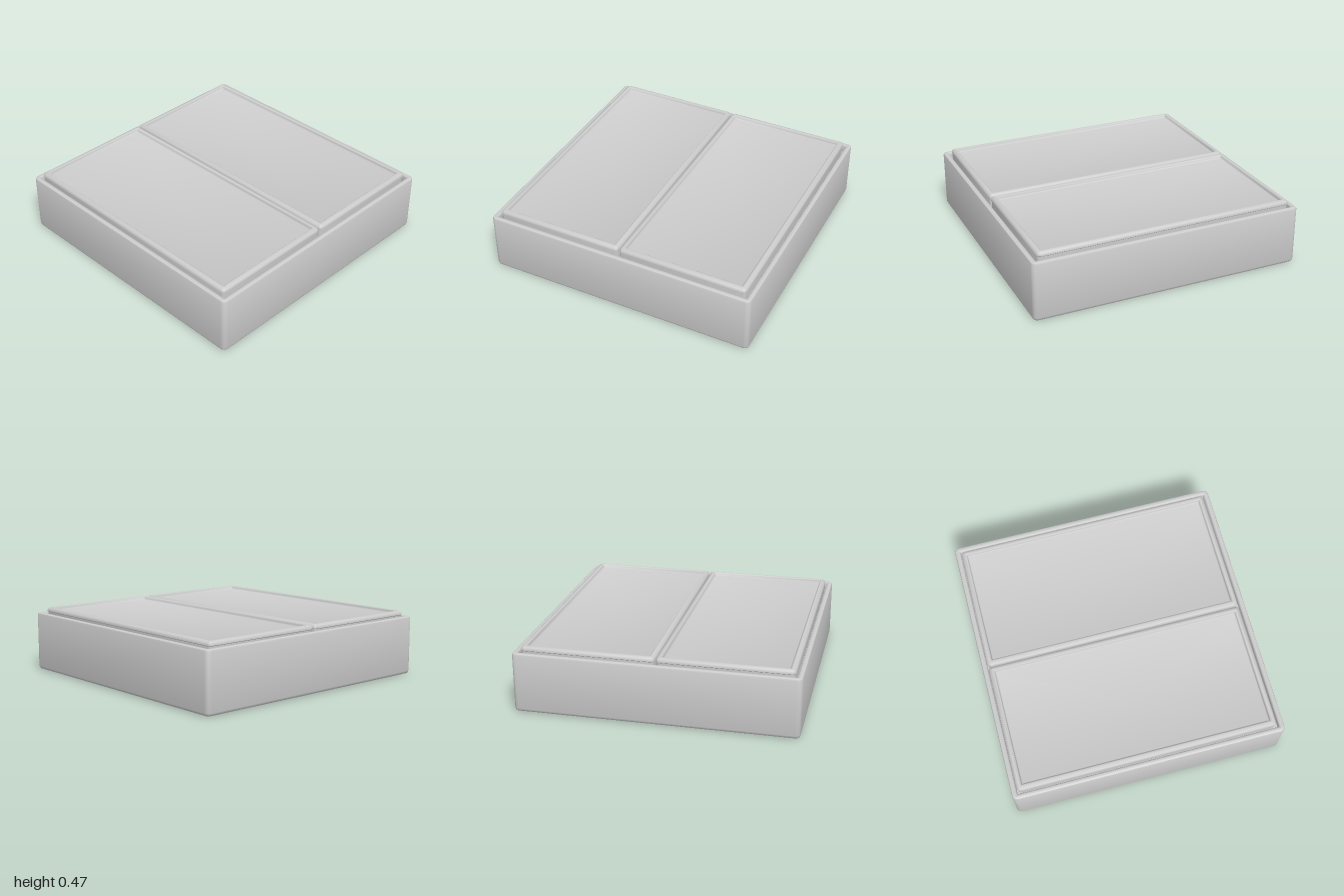
import * as THREE from 'three';
import { toCreasedNormals } from 'three/addons/utils/BufferGeometryUtils.js';

const material = new THREE.MeshStandardMaterial({ color: 0xcccccc, side: THREE.DoubleSide });

// One loop of a rounded rectangle, shrunk by an inset
function ring(halfX, halfZ, radius, inset, y) {
  const r = Math.max(radius - inset, 0.006), steps = 6, points = [];
  const hx = halfX - inset - r, hz = halfZ - inset - r;
  [[1, 1], [-1, 1], [-1, -1], [1, -1]].forEach(([sx, sz], corner) => {
    for (let i = 0; i <= steps; i++) {
      const a = (corner + i / steps) * Math.PI / 2;
      points.push([sx * hx + r * Math.cos(a), y, sz * hz + r * Math.sin(a)]);
    }
  });
  return points;
}

// Sweeps an [inset, height] profile round a rounded rectangle and closes its last loop
function traySurface(halfX, halfZ, radius, profile) {
  const positions = [], index = [];
  const n = ring(halfX, halfZ, radius, 0, 0).length;
  profile.forEach(([inset, y]) => positions.push(...ring(halfX, halfZ, radius, inset, y).flat()));
  const centre = n * profile.length, last = n * (profile.length - 1);
  positions.push(0, profile[profile.length - 1][1], 0);
  for (let i = 0; i < n; i++) {
    const k = (i + 1) % n;
    for (let j = 0; j < profile.length - 1; j++) {
      const a = j * n + i, b = j * n + k, c = a + n, d = b + n;
      index.push(a, c, b, b, c, d);
    }
    index.push(last + i, centre, last + k);
  }
  const geometry = new THREE.BufferGeometry();
  geometry.setAttribute('position', new THREE.Float32BufferAttribute(positions, 3));
  geometry.setIndex(index);
  return toCreasedNormals(geometry, 0.7);
}

export function createModel() {
  const group = new THREE.Group();

  // Hollow case, open below, with a rounded rim round a shallow pocket
  const base = new THREE.Mesh(traySurface(1, 1, 0.035, [
    [0.025, 0], [0.012, 0.004], [0.004, 0.012], [0, 0.025],
    [0, 0.42], [0.004, 0.43], [0.014, 0.435],
    [0.028, 0.435], [0.036, 0.431], [0.04, 0.422], [0.04, 0.375],
  ]), material);
  base.name = 'caseShell';
  group.add(base);

  // Two lids side by side, each a raised frame round a sunken panel
  const lidProfile = [
    [0.004, 0.376], [0.004, 0.442], [0, 0.446], [0, 0.455], [0.006, 0.467], [0.022, 0.475],
    [0.034, 0.475], [0.039, 0.471], [0.041, 0.464], [0.044, 0.455], [0.052, 0.45],
  ];
  for (const side of [-1, 1]) {
    const lid = new THREE.Mesh(traySurface(0.472, 0.95, 0.03, lidProfile), material);
    lid.name = side < 0 ? 'rightLid' : 'leftLid';
    lid.position.set(side * 0.476 - 0.003, 0, -0.006);
    group.add(lid);
  }
  return group;
}
